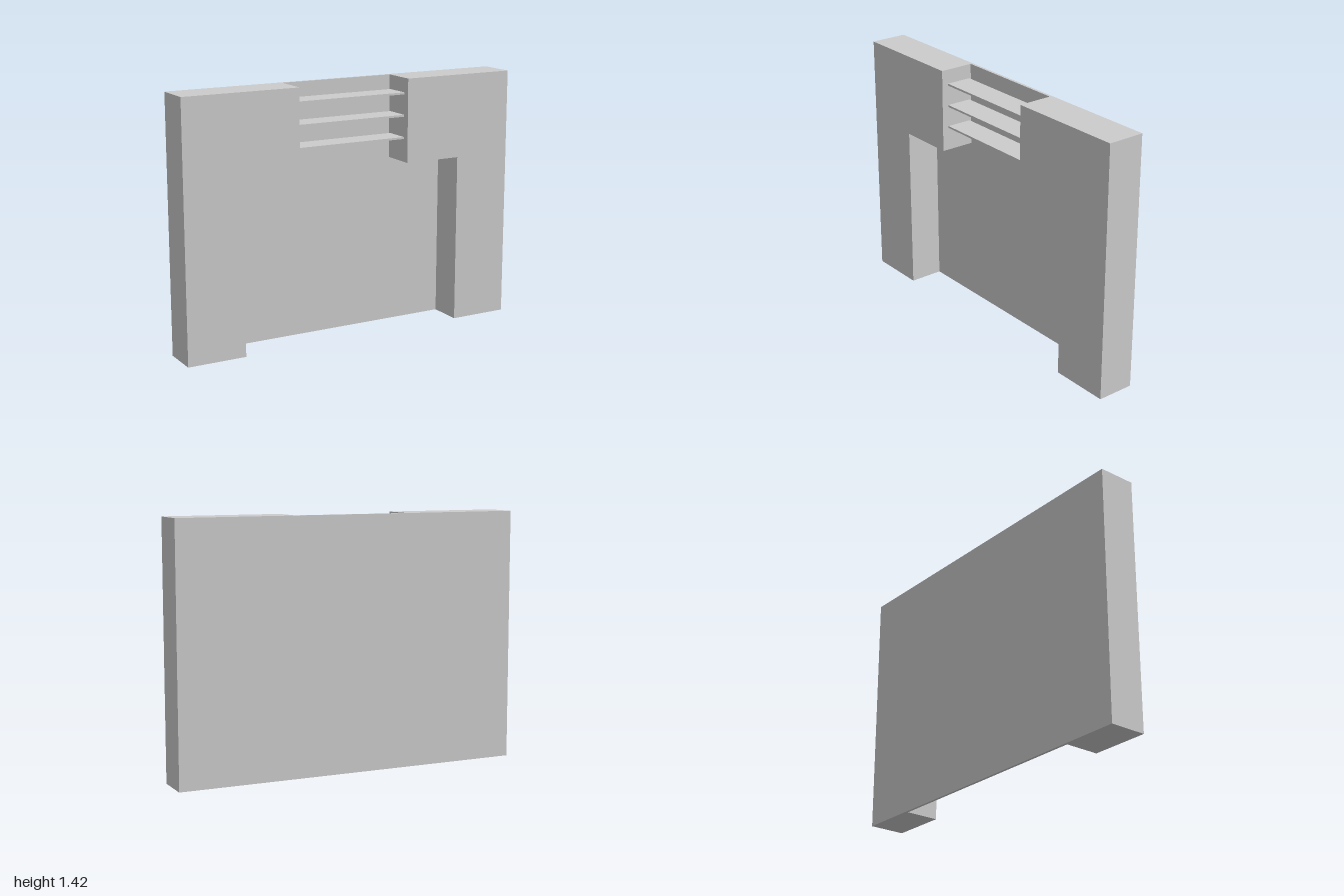
import * as THREE from 'three';

export function createModel() {
  const model = new THREE.Group();
  const material = new THREE.MeshStandardMaterial({ color: 0xcccccc, flatShading: true });
  const height = 1.42, back = -0.105, front = 0.105;
  const panelFront = -0.09;

  const add = (name, geometry, x, y, z) => {
    const mesh = new THREE.Mesh(geometry, material);
    mesh.name = name;
    mesh.position.set(x, y, z);
    model.add(mesh);
  };

  // Surround with a wide opening below and a narrow shelf bay above,
  // built as two mirrored L-shaped sides
  for (const s of [1, -1]) {
    const outline = [[1, 0], [1, height], [0.334, height], [0.334, 0.952], [0.666, 0.952], [0.666, 0]];
    const shape = new THREE.Shape(outline.map(([x, y]) => new THREE.Vector2(s * x, y)));
    const side = new THREE.ExtrudeGeometry(shape, { depth: front - back, bevelEnabled: false });
    add(s > 0 ? 'leftSide' : 'rightSide', side, 0, 0, back);
  }

  // Thin back panel closing the opening and the bay
  const lower = new THREE.Shape([
    [-0.666, 0], [0.666, 0], [0.666, 0.952], [0.334, 0.952],
    [0.334, height], [-0.334, height], [-0.334, 0.952], [-0.666, 0.952],
  ].map(([x, y]) => new THREE.Vector2(x, y)));
  add('backPanel', new THREE.ExtrudeGeometry(lower, { depth: panelFront - back, bevelEnabled: false }), 0, 0, back);

  // Three shelves, standing slightly clear of the back panel
  const shelfBack = -0.079, shelfFront = 0.067;
  for (let i = 0; i < 3; i++) {
    const shelf = new THREE.BoxGeometry(0.668, 0.011, shelfFront - shelfBack);
    add('shelf' + (i + 1), shelf, 0, 1.086 + i * 0.124, (shelfBack + shelfFront) / 2);
  }

  return model;
}
